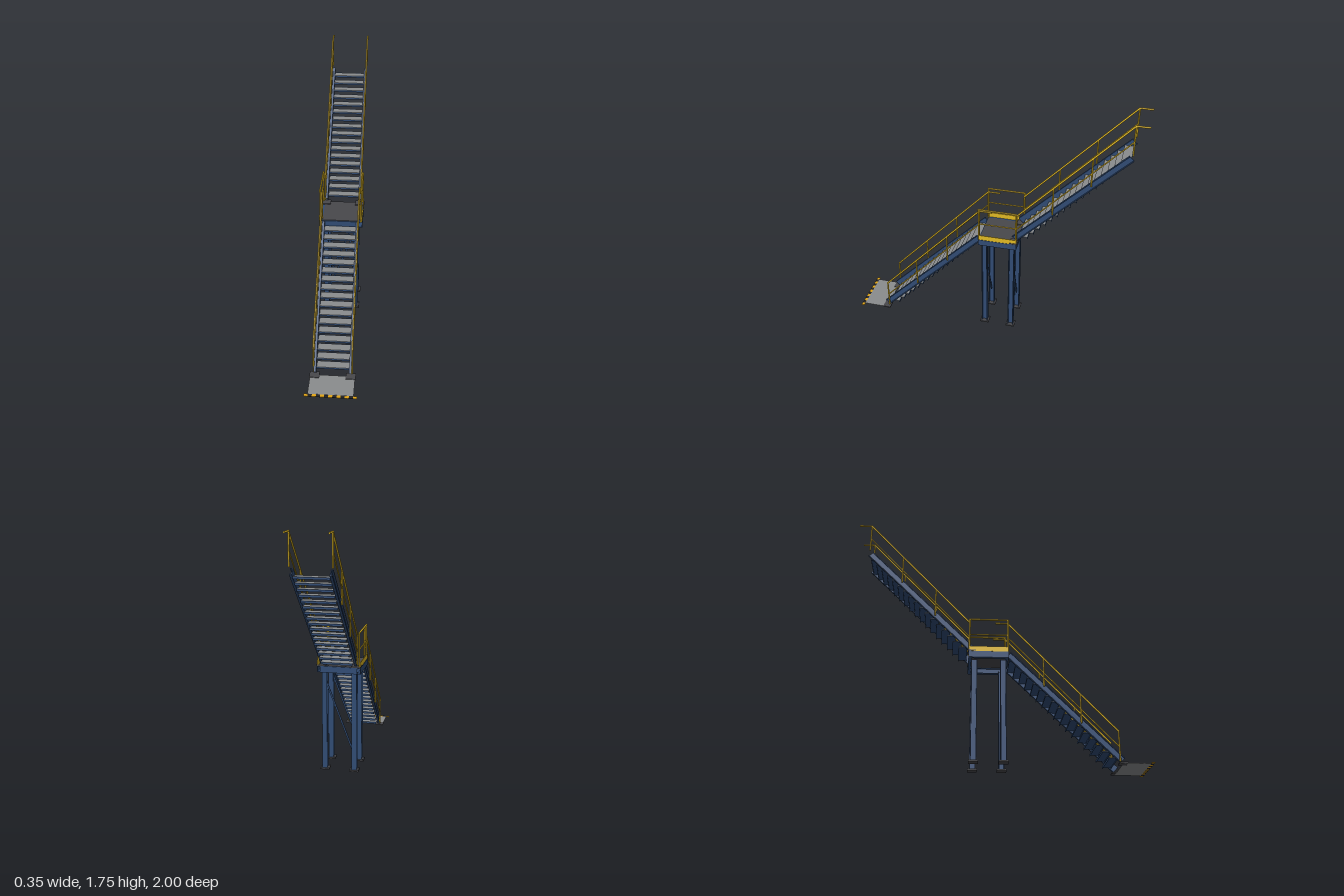
import * as THREE from 'three';

const mat = (name, color) => {
  const m = new THREE.MeshStandardMaterial({ color });
  m.name = name;
  return m;
};

export function createModel() {
  const blue = mat('blue steel', 0x304b73);
  const yellow = mat('safety yellow', 0xe0b824);
  const amber = mat('hazard amber', 0xe4a616);
  const grey = mat('grating grey', 0x8a8c8e);
  const dark = mat('dark plate', 0x48484c);
  const black = mat('stripe black', 0x222224);

  const model = new THREE.Group();
  model.name = 'industrialStair';
  const group = (name, parent = model) => {
    const g = new THREE.Group();
    g.name = name;
    parent.add(g);
    return g;
  };

  const box = (parent, name, m, w, h, d, x, y, z) => {
    const mesh = new THREE.Mesh(new THREE.BoxGeometry(w, h, d), m);
    mesh.name = name;
    mesh.position.set(x, y, z);
    parent.add(mesh);
    return mesh;
  };

  // Round bar between two points
  const rod = (parent, name, m, a, b, r) => {
    const A = new THREE.Vector3(...a), B = new THREE.Vector3(...b);
    const dir = B.clone().sub(A);
    const mesh = new THREE.Mesh(new THREE.CylinderGeometry(r, r, dir.length(), 10), m);
    mesh.name = name;
    mesh.position.copy(A).add(B).multiplyScalar(0.5);
    mesh.quaternion.setFromUnitVectors(new THREE.Vector3(0, 1, 0), dir.normalize());
    parent.add(mesh);
  };

  // Channel beam in the y-z plane: web at x, flanges reaching by 'reach' along x
  const channel = (parent, name, x, y0, z0, y1, z1, depth, reach, t = 0.005) => {
    const g = group(name, parent);
    g.position.set(x, (y0 + y1) / 2, (z0 + z1) / 2);
    g.rotation.x = Math.atan2(y0 - y1, z1 - z0);
    const len = Math.hypot(y1 - y0, z1 - z0);
    box(g, 'web', blue, t, depth, len, 0, 0, 0);
    for (const s of [-1, 1]) box(g, 'flange', blue, Math.abs(reach), t, len, reach / 2, s * (depth - t) / 2, 0);
  };

  // One flight: stringers, foot plates, treads and handrails
  const flight = (name, y, z) => {
    const g = group(name);
    g.position.set(0, y, z);
    for (const s of [-1, 1]) {
      channel(g, 'stringer', s * 0.112, 0.027, 0.802, 0.752, 0.072, 0.045, s * 0.014);
      box(g, 'footPlate', dark, 0.066, 0.008, 0.056, s * 0.121, 0.004, 0.802);

      const x = s * 0.128, z0 = 0.785, z1 = 0.066, y0 = 0.22, y1 = 0.98;
      const rails = group('handrail', g);
      rod(rails, 'topRail', yellow, [x, y0, z0], [x, y1, z1], 0.006);
      rod(rails, 'topRailExtension', yellow, [x, y1, z1], [x, y1, -0.02], 0.006);
      rod(rails, 'midRail', yellow, [x, y0 - 0.107, z0], [x, y1 - 0.107, z1], 0.0045);
      for (let i = 0; i < 4; i++) {
        const t = i / 3, py = y0 + (y1 - y0) * t, pz = z0 + (z1 - z0) * t;
        rod(rails, 'post', yellow, [x, py - 0.203, pz], [x, py, pz], 0.0055);
        const joint = new THREE.Mesh(new THREE.SphereGeometry(0.006, 10, 8), yellow);
        joint.name = 'railJoint';
        joint.position.set(x, py, pz);
        rails.add(joint);
      }
    }
    // Treads: grey grating on a blue pan with turned-down edges
    for (let i = 0; i < 17; i++) {
      const ty = 0.043 + i * 0.0422, front = 0.77 - i * 0.0397;
      box(g, 'treadGrating', grey, 0.219, 0.003, 0.057, 0, ty + 0.0015, front - 0.0285);
      box(g, 'treadPan', blue, 0.219, 0.003, 0.057, 0, ty - 0.0015, front - 0.0285);
      box(g, 'treadNosing', blue, 0.219, 0.008, 0.003, 0, ty - 0.007, front - 0.0015);
      box(g, 'treadBackEdge', blue, 0.219, 0.014, 0.003, 0, ty - 0.004, front - 0.0585);
    }
  };
  flight('lowerFlight', 0, 0);
  flight('upperFlight', 0.76, -0.98);

  // Landing frame and floor
  const landing = group('landing');
  const zf = 0.07, zb = -0.2, zc = (zf + zb) / 2, zl = zf - zb;
  box(landing, 'landingFloor', dark, 0.256, 0.006, zl - 0.012, 0, 0.759, zc);
  for (const s of [-1, 1]) {
    channel(landing, 'sideBeam', s * 0.15, 0.736, zf, 0.736, zb, 0.044, s * -0.022, 0.004);
    const z = s > 0 ? zf : zb;
    box(landing, 'crossBeamWeb', blue, 0.256, 0.044, 0.005, 0, 0.736, z - s * 0.0025);
    for (const h of [0.7165, 0.7555]) box(landing, 'crossBeamFlange', blue, 0.256, 0.005, 0.02, 0, h, z - s * 0.01);

    // Guard rails and toe board
    const x = s * 0.141, g = group('landingGuard', landing);
    box(g, 'toeBoard', yellow, 0.005, 0.036, 0.262, s * 0.148, 0.777, -0.065);
    for (const pz of [0.066, -0.195]) rod(g, 'guardPost', yellow, [x, 0.757, pz], [x, 1.003, pz], 0.006);
    rod(g, 'guardTopRail', yellow, [x, 1.0, 0.071], [x, 1.0, -0.2], 0.006);
    rod(g, 'guardMidRail', yellow, [x, 0.885, 0.066], [x, 0.885, -0.195], 0.0045);
  }

  // Columns with base plates and diagonal braces
  for (const z of [0.035, -0.16]) {
    for (const s of [-1, 1]) {
      const col = group('column');
      col.position.set(s * 0.104, 0, z);
      box(col, 'columnWeb', blue, 0.005, 0.707, 0.034, 0, 0.3615, 0);
      for (const f of [-1, 1]) box(col, 'columnFlange', blue, 0.035, 0.707, 0.005, 0, 0.3615, f * 0.0175);
      box(col, 'basePlate', dark, 0.064, 0.009, 0.064, 0, 0.0045, 0);
      for (const bx of [-1, 1]) for (const bz of [-1, 1]) {
        rod(col, 'anchorBolt', dark, [bx * 0.025, 0.008, bz * 0.025], [bx * 0.025, 0.015, bz * 0.025], 0.003);
      }
    }
    const brace = box(model, 'diagonalBrace', blue, 0.011, Math.hypot(0.19, 0.5), 0.008, 0, 0.39, z);
    brace.rotation.z = -Math.atan2(0.19, 0.5);
  }

  // Ground pad
  box(model, 'groundPad', grey, 0.3, 0.004, 0.178, 0, 0.002, 0.889);

  // Hazard strip
  const strip = group('hazardStrip');
  const n = 13, w = 0.346 / n;
  for (let i = 0; i < n; i++) {
    box(strip, 'hazardBlock', i % 2 ? black : amber, w, 0.003, 0.022, (i - (n - 1) / 2) * w, 0.0015, 0.989);
  }
  return model;
}
